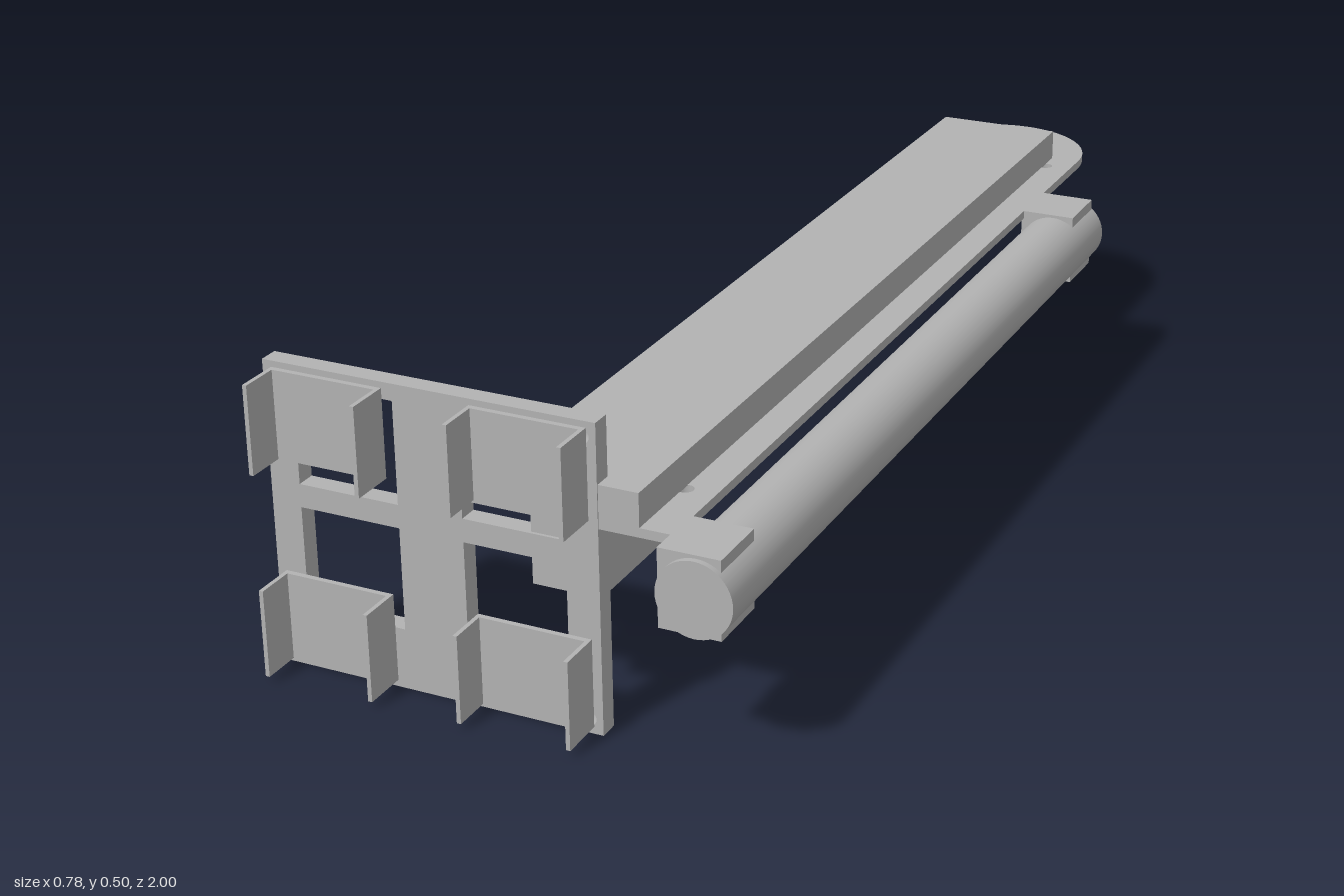
import * as THREE from 'three';

const grey = new THREE.MeshStandardMaterial({ color: 0xb2b2b2 });
grey.name = 'grey';

export function createModel() {
  const model = new THREE.Group();
  model.name = 'lampArmAssembly';

  const add = (name, geometry) => {
    const mesh = new THREE.Mesh(geometry, grey);
    mesh.name = name;
    model.add(mesh);
    return mesh;
  };
  // box from its minimum and maximum corners
  const box = (name, x0, x1, y0, y1, z0, z1) =>
    add(name, new THREE.BoxGeometry(x1 - x0, y1 - y0, z1 - z0))
      .position.set((x0 + x1) / 2, (y0 + y1) / 2, (z0 + z1) / 2);
  const rect = (P, x0, x1, y0, y1) => {
    const p = new P();
    p.moveTo(x0, y0).lineTo(x1, y0).lineTo(x1, y1).lineTo(x0, y1).closePath();
    return p;
  };
  const hole = (x, y, r) => new THREE.Path().absarc(x, y, r, 0, Math.PI * 2, true);
  const extrude = (shape, depth) =>
    new THREE.ExtrudeGeometry(shape, { depth, bevelEnabled: false, curveSegments: 24 });

  // Upright plate with four windows and corner screw holes
  const plate = rect(THREE.Shape, -0.39, 0.158, 0, 0.497);
  for (const [x0, x1] of [[-0.34, -0.171], [-0.063, 0.105]])
    for (const [y0, y1] of [[0.1, 0.267], [0.305, 0.47]])
      plate.holes.push(rect(THREE.Path, x0, x1, y0, y1));
  for (const x of [-0.367, 0.135])
    for (const y of [0.024, 0.473]) plate.holes.push(hole(x, y, 0.012));
  add('mountingPlate', extrude(plate, 0.032)).position.z = 0.895;

  // U-shaped holders on the plate front
  for (const x of [-0.375, -0.044])
    for (const [y0, y1] of [[0.011, 0.155], [0.344, 0.487]]) {
      const x1 = x + 0.187;
      box('holderBack', x, x1, y0, y1, 0.927, 0.936);
      box('holderWing', x, x + 0.007, y0, y1, 0.927, 1);
      box('holderWing', x1 - 0.007, x1, y0, y1, 0.927, 1);
    }

  // Long thin base strip with a round rear end, drawn in x and -z
  const strip = new THREE.Shape();
  strip.moveTo(-0.052, -0.925).lineTo(0.274, -0.925).lineTo(0.274, 0.837);
  strip.absarc(0.111, 0.837, 0.163, 0, Math.PI, false);
  strip.closePath();
  for (const x of [-0.003, 0.225])
    for (const z of [-0.785, 0.785]) strip.holes.push(hole(x, z, 0.013));
  const stripMesh = add('baseStrip', extrude(strip, 0.015));
  stripMesh.rotation.x = -Math.PI / 2;
  stripMesh.position.y = 0.333;

  // Raised bar on top of the strip
  box('topBar', 0, 0.222, 0.347, 0.402, -0.835, 0.925);

  // Square tube below the strip, open at the rear
  const tube = rect(THREE.Shape, 0.047, 0.158, 0.222, 0.334);
  tube.holes.push(rect(THREE.Path, 0.057, 0.148, 0.232, 0.324));
  add('squareTube', extrude(tube, 1.757)).position.z = -0.835;
  box('tubeEndCap', 0.056, 0.149, 0.231, 0.325, 0.912, 0.922);

  // Round lamp and the two clips that carry it
  const lamp = add('lampCylinder', new THREE.CylinderGeometry(0.06, 0.06, 1.615, 48));
  lamp.rotation.x = Math.PI / 2;
  lamp.position.set(0.33, 0.283, 0.1685);
  for (const [z0, z1] of [[-0.635, -0.525], [0.86, 0.967]])
    box('lampClip', 0.27, 0.368, 0.223, 0.348, z0, z1);

  return model;
}
